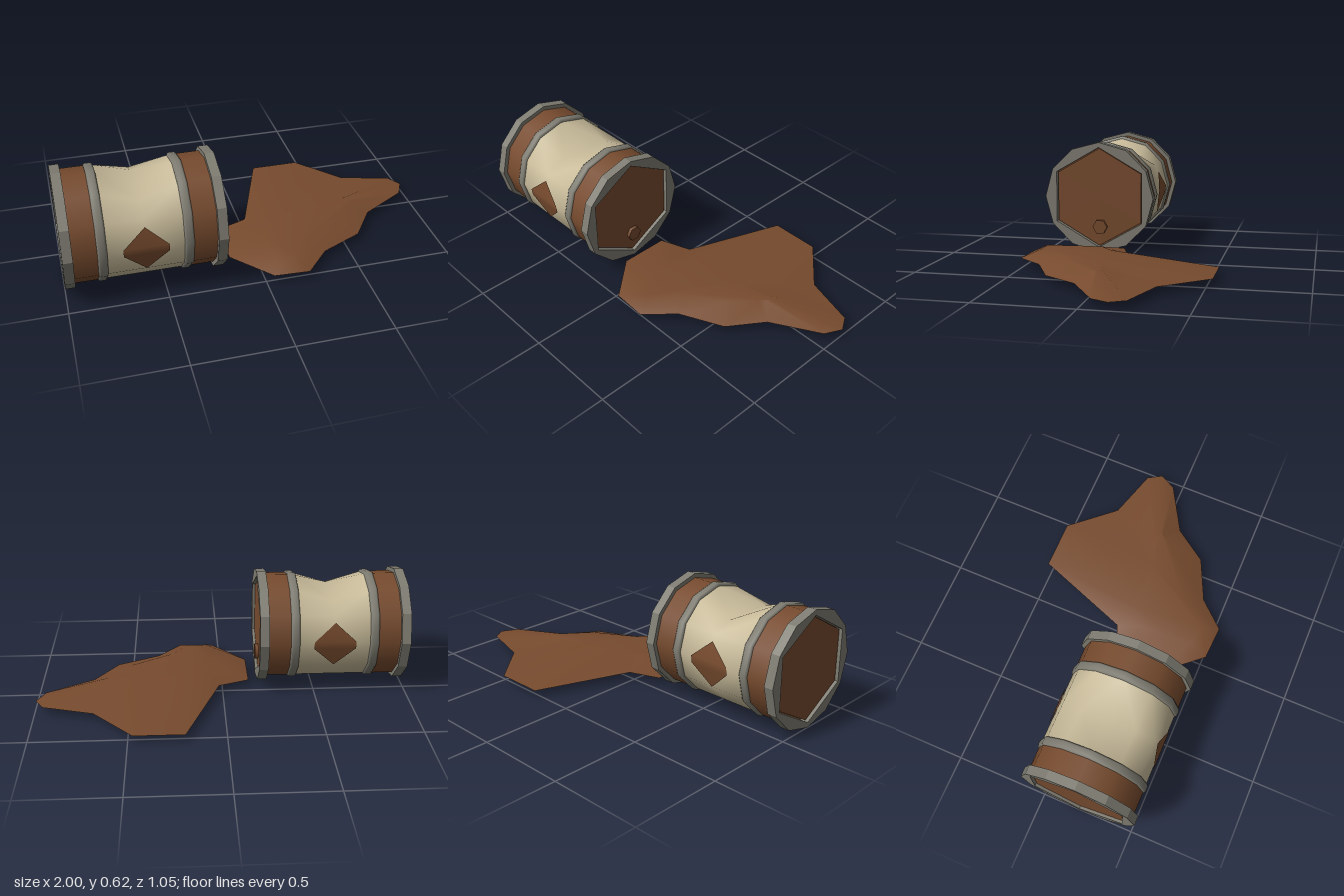
import * as THREE from 'three';

const brown = new THREE.MeshStandardMaterial({ name: 'brown', color: 0x774b2e });
const grey = new THREE.MeshStandardMaterial({ name: 'grey', color: 0x7f7d72 });
const cream = new THREE.MeshStandardMaterial({ name: 'cream', color: 0xc9bc9b });

function add(parent, name, geometry, material, x = 0, y = 0, z = 0) {
  const mesh = new THREE.Mesh(geometry, material);
  mesh.name = name;
  mesh.position.set(x, y, z);
  parent.add(mesh);
  return mesh;
}

// prism whose axis runs along x
function barrelPrism(radius, length, sides, start = 0) {
  return new THREE.CylinderGeometry(radius, radius, length, sides, 1, false, start).rotateZ(-Math.PI / 2);
}

function polygon(PathType, radius, sides) {
  const points = [];
  for (let i = 0; i < sides; i++) {
    const a = Math.PI / 2 + (i / sides) * Math.PI * 2;
    points.push(new THREE.Vector2(radius * Math.cos(a), radius * Math.sin(a)));
  }
  return new PathType(points);
}

function meshFrom(positions, indices) {
  const geometry = new THREE.BufferGeometry();
  geometry.setAttribute('position', new THREE.Float32BufferAttribute(positions, 3));
  geometry.setIndex(indices);
  geometry.computeVertexNormals();
  return geometry;
}

// twelve-sided drum, its middle loop pressed in at the top
function drumGeometry() {
  const r = 0.287, n = 12, positions = [], indices = [];
  [-0.2, 0, 0.2].forEach((x, i) => {
    for (let k = 0; k < n; k++) {
      const a = (k / n) * Math.PI * 2;
      const y = r * Math.sin(a);
      positions.push(x, i === 1 ? Math.min(y, 0.187) : y, r * Math.cos(a));
    }
  });
  for (let i = 0; i < 2; i++) {
    for (let k = 0; k < n; k++) {
      const k2 = (k + 1) % n;
      const a = i * n + k, b = a + n, c = (i + 1) * n + k2, d = c - n;
      const front = Math.cos(((k + 0.5) / n) * Math.PI * 2) > 0;
      if ((i === 0) === front) indices.push(a, b, d, b, c, d);
      else indices.push(a, b, c, a, c, d);
    }
  }
  return meshFrom(positions, indices);
}

// painted diamond following the drum's curve
function diamondGeometry() {
  const outline = [[0, 0.11], [-0.112, 0.01], [-0.112, -0.03], [0, -0.137], [0.112, -0.03], [0.112, 0.01]];
  const positions = outline.flatMap(([x, y]) => [x, y, 0.295 - Math.abs(y) * 0.268]);
  return meshFrom(positions, [0, 1, 5, 1, 2, 4, 1, 4, 5, 2, 3, 4]);
}

// low spill: flat base outline rising to a small plateau
function spillGeometries() {
  const outer = [[-0.145, 0.045], [0.02, -0.015], [0.21, -0.53], [0.475, -0.53], [0.685, -0.295],
    [0.955, -0.215], [1, -0.14], [0.955, -0.05], [0.705, 0.095], [0.58, 0.275],
    [0.355, 0.38], [0.225, 0.525], [0.04, 0.515], [-0.145, 0.305]];
  const inner = [[0.06, 0.12], [0.14, 0.05], [0.3, 0.03], [0.42, 0.03], [0.55, 0],
    [0.61, -0.02], [0.63, 0], [0.62, 0.02], [0.6, 0.05], [0.5, 0.17],
    [0.28, 0.3], [0.18, 0.42], [0.08, 0.42], [0.06, 0.25]];
  const n = outer.length;
  const fill = (loop, up) => {
    const pts = loop.map(([x, z]) => new THREE.Vector2(x, -z));
    return THREE.ShapeUtils.triangulateShape(pts, []).flatMap(([a, b, c]) => {
      const ccw = THREE.ShapeUtils.area([pts[a], pts[b], pts[c]]) > 0;
      return ccw === up ? [a, b, c] : [a, c, b];
    });
  };
  const low = outer.flatMap(([x, z]) => [x, 0.04, z]);
  const high = inner.flatMap(([x, z]) => [x, 0.086, z]);
  const indices = fill(inner, true).map((i) => i + n);
  for (let i = 0; i < n; i++) {
    const j = (i + 1) % n;
    indices.push(i, n + i, j, j, n + i, n + j);
  }
  return [meshFrom([...low, ...high], indices), meshFrom(low, fill(outer, false))];
}

export function createModel() {
  const model = new THREE.Group();
  model.name = 'barrelAndSpill';

  const barrel = new THREE.Group();
  barrel.name = 'barrel';
  barrel.position.set(-0.5975, 0.312, 0.203);
  model.add(barrel);

  add(barrel, 'drum', drumGeometry(), cream);
  add(barrel, 'frontDiamond', diamondGeometry(), brown);
  add(barrel, 'backDiamond', diamondGeometry(), brown).rotation.y = Math.PI;

  // end rims with hexagonal openings, and rounded hoops
  const rimShape = polygon(THREE.Shape, 0.311, 12);
  rimShape.holes.push(polygon(THREE.Path, 0.283, 6));
  const rim = new THREE.ExtrudeGeometry(rimShape, { depth: 0.05, bevelEnabled: false });
  rim.translate(0, 0, -0.025).rotateY(Math.PI / 2);
  const hoopProfile = [[0.28, -0.025], [0.292, -0.023], [0.298, -0.014], [0.298, 0.014], [0.292, 0.023], [0.28, 0.025]];
  const hoop = new THREE.LatheGeometry(hoopProfile.map(([r, y]) => new THREE.Vector2(r, y)), 12);
  hoop.rotateZ(-Math.PI / 2);

  for (const [side, s] of [['left', 1], ['right', -1]]) {
    add(barrel, side + 'Band', barrelPrism(0.288, 0.17, 12), brown, s * 0.275);
    add(barrel, side + 'Hoop', hoop, grey, s * 0.212);
    add(barrel, side + 'Rim', rim, grey, s * 0.3775);
    add(barrel, side + 'Lid', barrelPrism(0.276, 0.035, 6, Math.PI / 2), brown, s * 0.37);
  }
  add(barrel, 'bungPlug', barrelPrism(0.042, 0.03, 6), brown, 0.392, -0.167, -0.006);

  const [top, base] = spillGeometries();
  add(model, 'spillTop', top, brown);
  add(model, 'spillBase', base, brown);
  return model;
}
